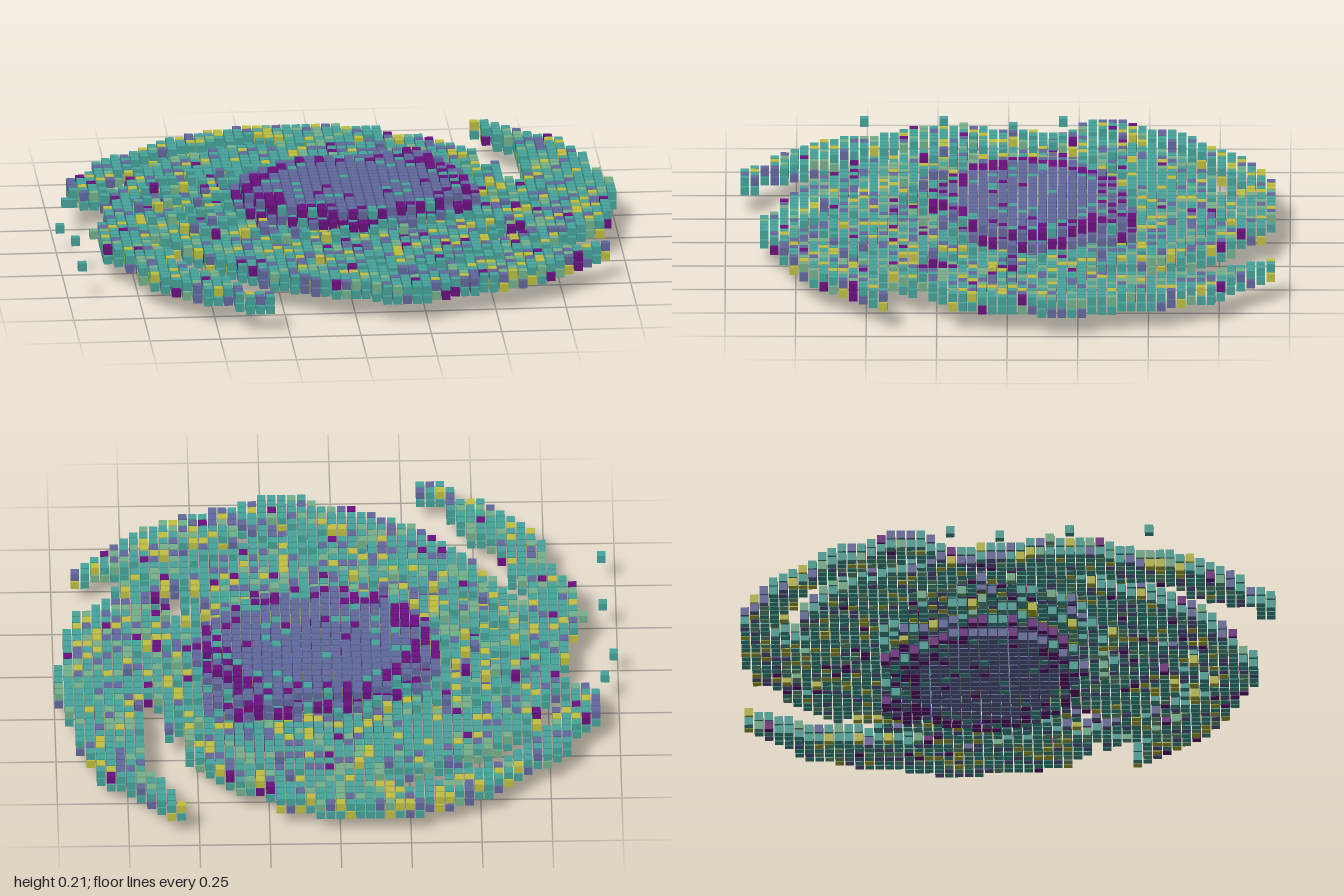
import * as THREE from 'three';
import { mergeGeometries } from 'three/addons/utils/BufferGeometryUtils.js';

const PITCH = 0.0352, SIZE = 0.03;
const COLORS = { teal: 0x45a59c, green: 0x73b28c, yellow: 0xc0c040, slate: 0x62699f, purple: 0x6b0f80 };

// Outlines seen from above: x, z pairs in hundredths
const DISK = [-24, -95, 8, -95, 13, -90, 22, -90, 25, -82, 35, -81, 40, -77, 48, -69, 56, -58, 62, -48,
  63, -32, 68, -29, 68, 20, 79, 28, 77, 38, 70, 48, 92, 43, 92, 47, 79, 59, 72, 66, 62, 73, 43, 79, 34, 83,
  20, 88, 9, 88, 3, 82, -13, 78, -24, 72, -33, 65, -43, 57, -51, 48, -52, 42, -60, 33, -85, 9, -81, -10,
  -80, -21, -92, -29, -92, -40, -85, -50, -78, -64, -69, -69, -57, -81, -45, -88];
const LEFT_ARM = [55, -95, 62, -95, 65, -88, 72, -83, 76, -77, 84, -76, 87, -64, 92, -56, 94, -45, 96, -30,
  100, -29, 100, -14, 96, -2, 96, 6, 92, 20, 79, 28, 66, 22, 64, -20, 68, -30, 70, -40, 70, -58, 68, -72, 59, -85];
const RIGHT_ARM = [-85, 6, -86, 25, -85, 35, -78, 43, -77, 51, -72, 65, -64, 73, -56, 83, -45, 86, -39, 95,
  -31, 95, -31, 88, -39, 88, -43, 75, -48, 66, -59, 57, -61, 43, -69, 30, -60, 10];

// Thinned lanes between the arms: path, half width, share of cells removed
const LANES = [
  { path: [-80, -29, -69, -50, -56, -65, -40, -74, -24, -82], width: 4, drop: 0.8 },
  { path: [-24, -76, 10, -76, 30, -70], width: 6, drop: 0.25 },
  { path: [59, -48, 60, -25, 64, -5], width: 12, drop: 0.22 },
  { path: [52, 12, 54, 26, 74, 36], width: 8, drop: 0.4 },
  { path: [60, 42, 45, 55, 20, 66, -5, 57], width: 9, drop: 0.25 },
];

// Stray cells outside the disk: column, row
const STRAYS = [[0, 26], [1, 21], [1, 33], [1, 41], [3, 31]];

function seeded(seed) {
  return () => {
    seed = (seed * 1664525 + 1013904223) % 4294967296;
    return seed / 4294967296;
  };
}

function inside(poly, x, z) {
  let hit = false;
  for (let i = 0, j = poly.length - 2; i < poly.length; j = i, i += 2) {
    const [ax, az, bx, bz] = [poly[i], poly[i + 1], poly[j], poly[j + 1]];
    if ((az > z) !== (bz > z) && x < (bx - ax) * (z - az) / (bz - az) + ax) hit = !hit;
  }
  return hit;
}

function pathDistance(path, x, z) {
  let best = Infinity;
  for (let i = 0; i + 3 < path.length; i += 2) {
    const dx = path[i + 2] - path[i], dz = path[i + 3] - path[i + 1];
    const t = THREE.MathUtils.clamp(((x - path[i]) * dx + (z - path[i + 1]) * dz) / (dx * dx + dz * dz), 0, 1);
    best = Math.min(best, Math.hypot(x - path[i] - t * dx, z - path[i + 1] - t * dz));
  }
  return best;
}

const ellipse = (x, z, cx, cz, rx, rz) => Math.hypot((x - cx) / rx, (z - cz) / rz);

export function createModel() {
  const model = new THREE.Group();
  const random = seeded(7);
  const cube = new THREE.BoxGeometry(SIZE, SIZE, SIZE);
  const parts = {};

  function addCell(part, color, i, k, j) {
    const list = ((parts[part] ??= {})[color] ??= []);
    list.push(cube.clone().translate((i - 28) * PITCH, k * PITCH + SIZE / 2, (j - 26.5) * PITCH));
  }

  function diskColor() {
    const r = random();
    return r < 0.56 ? 'teal' : r < 0.7 ? 'green' : r < 0.82 ? 'yellow' : r < 0.97 ? 'slate' : 'purple';
  }

  function coreColor(core) {
    const r = random();
    if (core < 0.78) return r < 0.88 ? 'slate' : r < 0.93 ? 'purple' : 'teal';
    return r < 0.45 ? 'purple' : r < 0.85 ? 'slate' : 'teal';
  }

  for (let i = 0; i < 57; i++) {
    for (let j = 0; j < 54; j++) {
      const x = (i - 28) * PITCH * 100, z = (j - 26.5) * PITCH * 100;
      const part = inside(DISK, x, z) ? 'disk'
        : inside(LEFT_ARM, x, z) ? 'leftArm'
        : inside(RIGHT_ARM, x, z) ? 'rightArm' : null;
      if (!part) continue;
      if (LANES.some((l) => pathDistance(l.path, x, z) < l.width && random() < l.drop)) continue;

      // Two-layer disk and arms
      for (const k of [2, 3]) addCell(part, diskColor(), i, k, j);

      // Bulging core above and below, with a small lobe at the back
      const core = Math.min(ellipse(x, z, 6, -8, 41, 32), 0.7 + 0.3 * ellipse(x, z, 28, -36, 12, 9));
      const halo = ellipse(x, z, -12, -4, 60, 43);
      for (const k of [1, 4]) {
        if (core < 1.08) addCell('core', coreColor(core), i, k, j);
        else if (halo < 1 && random() < 0.25) addCell('halo', diskColor(), i, k, j);
      }
      for (const k of [0, 5]) {
        if (core < 1) addCell('core', coreColor(core), i, k, j);
      }
    }
  }

  for (const [i, j] of STRAYS) addCell('strayCells', diskColor(), i, 2 + (j % 2), j);

  // One mesh per part and colour
  const materials = {};
  for (const [name, color] of Object.entries(COLORS)) materials[name] = new THREE.MeshStandardMaterial({ color });
  for (const [part, colors] of Object.entries(parts)) {
    const group = new THREE.Group();
    group.name = part;
    for (const [color, cells] of Object.entries(colors)) {
      const mesh = new THREE.Mesh(mergeGeometries(cells), materials[color]);
      mesh.name = `${part} ${color} cells`;
      group.add(mesh);
    }
    model.add(group);
  }
  return model;
}
